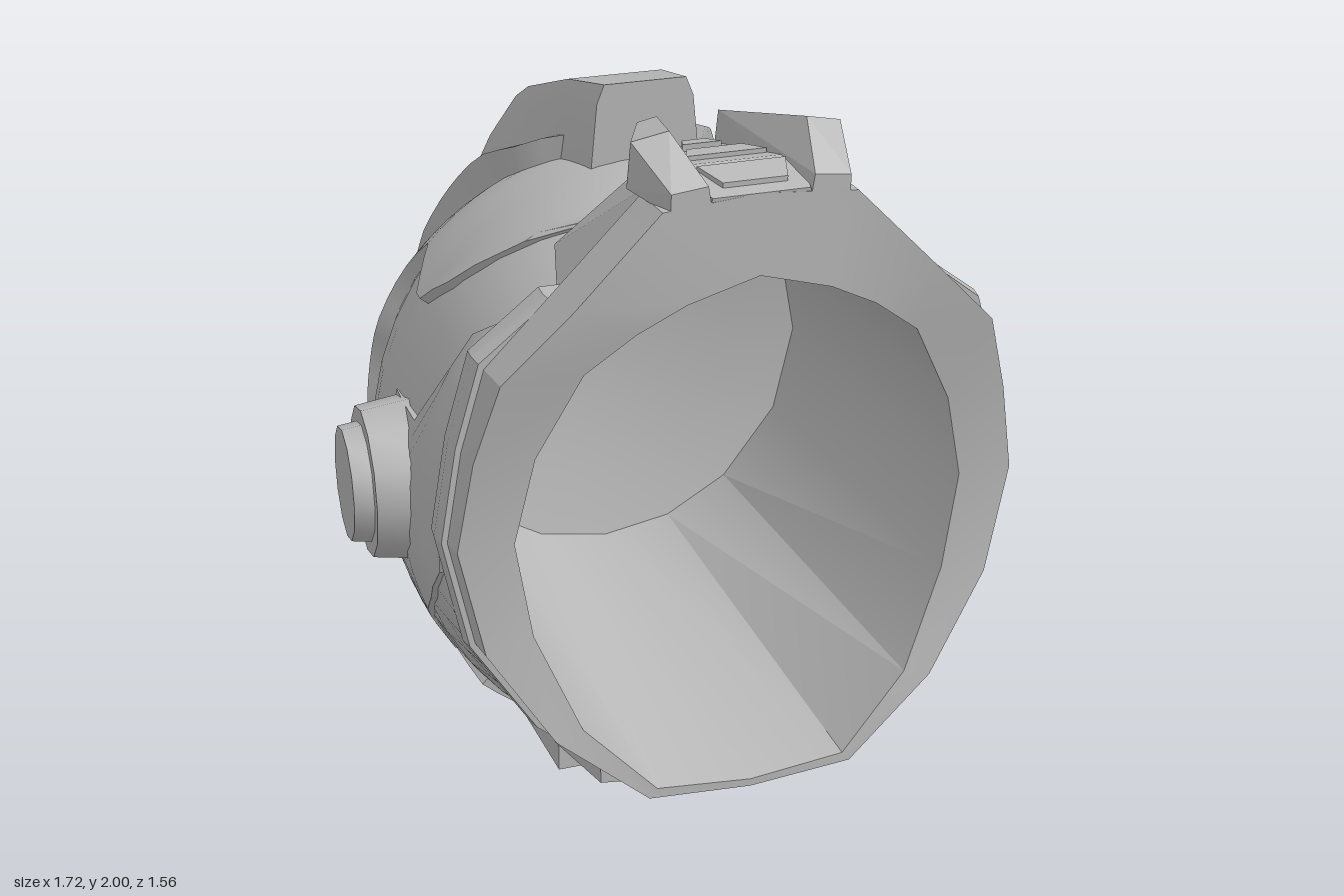
import * as THREE from 'three';
import { mergeVertices, toCreasedNormals } from 'three/addons/utils/BufferGeometryUtils.js';
import { ConvexGeometry } from 'three/addons/geometries/ConvexGeometry.js';

const CY = 0.92, RX = 0.715, TOP = 0.79, BOTTOM = 0.88, RZ = 0.7;
const JAW = 1.8, BACK = 2.35; // roundness of the lower half and of the back
const rad = THREE.MathUtils.degToRad;

// Linear interpolation in a short table of [key, value...] rows
function lerpTable(table, key, col = 1) {
  if (key <= table[0][0]) return table[0][col];
  for (let i = 1; i < table.length; i++) {
    const a = table[i - 1], b = table[i];
    if (key <= b[0]) return a[col] + (b[col] - a[col]) * (key - a[0]) / (b[0] - a[0]);
  }
  return table[table.length - 1][col];
}

// Surface through rows of points
function loft(rows, closed, crease = 0.5) {
  const n = rows[0].length, index = [];
  for (let i = 0; i + 1 < rows.length; i++) {
    for (let j = 0; j < (closed ? n : n - 1); j++) {
      const k = (j + 1) % n, a = i * n + j, b = i * n + k;
      index.push(a, b, a + n, b, b + n, a + n);
    }
  }
  const geo = new THREE.BufferGeometry();
  geo.setAttribute('position', new THREE.Float32BufferAttribute(rows.flat(2), 3));
  geo.setIndex(index);
  return toCreasedNormals(mergeVertices(geo, 1e-4), crease);
}

const hull = pts => new ConvexGeometry(pts.map(p => new THREE.Vector3(...p)));
const mirrorPts = pts => [...pts, ...pts.filter(p => p[0] > 0).map(([x, y, z]) => [-x, y, z])];
// Half outline from bottom to top, completed on the other side
const fullLoop = half => [...half, ...half.slice(1, -1).reverse().map(([x, y]) => [-x, y])];

// Front shell sections: z, half width, top, bottom, squareness of the upper half
const sections = [[0, RX, CY + TOP, CY - BOTTOM, 2], [0.25, 0.72, 1.68, 0.14, 2.2], [0.6, 0.715, 1.64, 0.33, 2.6]];
const sectionAt = z => [1, 2, 3, 4].map(c => lerpTable(sections, z, c));

function shellRow(z, n = 40) {
  const k = z < 0 ? Math.max(0, 1 - (-z / RZ) ** BACK) ** (1 / BACK) : 1;
  const [hw, top, bot, p] = sectionAt(z);
  const row = [];
  for (let j = 0; j < n; j++) {
    const t = j / n * Math.PI * 2, c = Math.cos(t), s = Math.sin(t);
    const e = 2 / (s > 0 ? p : JAW);
    const x = Math.sign(c) * Math.abs(c) ** e * hw * k;
    const y = CY + (s > 0 ? (top - CY) * s ** e : (bot - CY) * (-s) ** e) * k;
    row.push([x, y, z]);
  }
  return row;
}

function shellX(z, y) {
  const [hw, top, bot, p] = sectionAt(z);
  const h = y > CY ? (y - CY) / (top - CY) : (CY - y) / (CY - bot);
  const e = y > CY ? p : JAW;
  return hw * Math.max(0, 1 - h ** e) ** (1 / e);
}

// Point on the back dome: a runs over the top, back and bottom, b runs sideways
function dome(a, b, off) {
  const A = rad(a), B = rad(b);
  const x = Math.sin(B), y = Math.cos(A) * Math.cos(B), z = -Math.sin(A) * Math.cos(B);
  const q = y > 0 ? 2 : JAW, p = z < 0 ? BACK : 2;
  const across = (Math.abs(x) ** q + Math.abs(y) ** q) ** (1 / q);
  const f = (across ** p + Math.abs(z) ** p) ** (-1 / p);
  return [(RX * f + off) * x, CY + ((y > 0 ? TOP : BOTTOM) * f + off) * y, (RZ * f + off) * z];
}

// Raised plate over the dome; rows give angle, half spread, height in the middle and at the rim
function domePlate(table, base, power) {
  const a0 = table[0][0], a1 = table[table.length - 1][0], rows = [];
  const row = (a, lift) => {
    const [B, mid, rim] = [1, 2, 3].map(c => lerpTable(table, a, c));
    const r = [dome(a, -B, base)];
    for (let j = 0; j <= 20; j++) {
      const s = j / 10 - 1;
      r.push(dome(a, B * s, lift ? mid + (rim - mid) * Math.abs(s) ** power : base));
    }
    r.push(dome(a, B, base));
    return r;
  };
  rows.push(row(a0, false));
  for (let i = 0; i <= 36; i++) rows.push(row(a0 + (a1 - a0) * i / 36, true));
  rows.push(row(a1, false));
  return loft(rows, false);
}

export function createModel() {
  const group = new THREE.Group();
  const grey = new THREE.MeshStandardMaterial({ color: 0xb8b8b8, side: THREE.DoubleSide });
  grey.name = 'grey';
  const add = (name, geo) => {
    const mesh = new THREE.Mesh(geo, grey);
    mesh.name = name;
    group.add(mesh);
  };

  // Main shell
  const zs = [0.6, 0.42, 0.25, 0.12, 0];
  for (let i = 1; i <= 12; i++) zs.push(-RZ * Math.sin(i / 12 * Math.PI / 2));
  add('shell', loft(zs.map(z => shellRow(z)), true, 0.8));

  // Layered plates over the back
  add('backPlate', domePlate([[-22, 14, 0.06, 0.05], [-16, 32, 0.045, 0.04], [-8, 46, 0.025, 0.03],
    [8, 55, 0.01, 0.025], [28, 42, 0.01, 0.03], [36, 45, 0.01, 0.035], [57, 53, 0.01, 0.045], [86, 56, 0.01, 0.045],
    [126, 50, 0.01, 0.035], [154, 45, 0.01, 0.03], [176, 40, 0.01, 0.03]], -0.03, 2));
  add('innerBackPlate', domePlate([[2, 9, 0.06, 0.06], [14, 11, 0.06, 0.07], [22, 20, 0.05, 0.08], [30, 23, 0.04, 0.1],
    [52, 32, 0, 0.09], [75, 36, -0.02, 0.08], [85, 37, -0.02, 0.08], [110, 36, -0.02, 0.08], [142, 26, 0, 0.09]], -0.03, 2));

  // Crest: angle, radius factor, outer half width, inner half width, channel factor
  const crest = [[0, 1.23, 0.11, 0.07, 1.23], [16, 1.22, 0.13, 0.07, 1.22], [31, 1.26, 0.17, 0.07, 1.25],
    [35, 1.26, 0.19, 0.07, 1.14], [46, 1.24, 0.23, 0.1, 1.11], [57, 1.22, 0.27, 0.13, 1.06], [72, 1.15, 0.3, 0.15, 1.01],
    [88, 1.12, 0.3, 0.16, 0.99], [110, 1.11, 0.29, 0.17, 1.02], [125, 1.18, 0.27, 0.17, 1.09], [132, 1.24, 0.25, 0.16, 1.16],
    [137, 1.29, 0.24, 0.16, 1.29]];
  const crestRow = ([a, m, xo, xi, ch]) => {
    const at = (x, f) => [x, CY + 0.82 * f * Math.cos(rad(a)), -RZ * f * Math.sin(rad(a))];
    const half = [at(xo + 0.04, 0.92), at(xo + 0.02, m - 0.06), at(xo, m), at(xi, m), at(xi - 0.02, ch)];
    return [...half, ...half.map(([x, y, z]) => [-x, y, z]).reverse()];
  };
  const crestRows = crest.map(crestRow);
  const flatten = row => row.map(([x]) => [x, row[0][1], row[0][2]]);
  add('crest', loft([flatten(crestRows[0]), ...crestRows, flatten(crestRows[crestRows.length - 1])], false, 0.45));

  // Face frame and deep opening
  const outer = fullLoop([[0, 0.31], [0.27, 0.33], [0.5, 0.52], [0.66, 0.77], [0.72, 1.05], [0.68, 1.28],
    [0.62, 1.48], [0.45, 1.65], [0.24, 1.86], [0, 1.88]]);
  const inner = fullLoop([[0, 0.33], [0.25, 0.355], [0.43, 0.54], [0.54, 0.8], [0.58, 1.05], [0.53, 1.27],
    [0.42, 1.48], [0.3, 1.57], [0.18, 1.63], [0, 1.68]]);
  const frontZ = y => 0.7 + 0.08 * Math.min(1, ((y - 1) / 0.6) ** 2);
  const rim = inner.map(([x, y]) => [x, y, frontZ(y)]);
  add('faceFrame', loft([
    outer.map(([x, y]) => [x * 0.98, 1 + (y - 1) * 0.98, 0.63]),
    outer.map(([x, y]) => [x * 1.01, y, 0.64]),
    outer.map(([x, y]) => [x, y, frontZ(y)]), rim], true, 0.35));
  const cavityRow = (r, z) => inner.map(([x, y]) => {
    const d = Math.hypot(x, y - 1.06);
    return [x / d * r, 1.06 + (y - 1.06) / d * r, z];
  });
  add('cavity', loft([rim, cavityRow(0.57, -0.34), cavityRow(0.4, -0.38), cavityRow(0.2, -0.41), cavityRow(0, -0.42)], true, 0.6));

  // Flange behind the frame
  const flange = (s, z) => outer.map(([x, y]) => [x * s, Math.min(1.63, 1 + (y - 1) * s), z]);
  add('flange', loft([flange(0.98, 0.55), flange(1.03, 0.55), flange(1.04, 0.6), flange(1.03, 0.64), flange(0.99, 0.64)], true, 0.3));

  // Brow mount, rails and vents
  add('browMount', hull(mirrorPts([[0.1, 1.82, 0.3], [0.33, 1.62, 0.26], [0.1, 1.72, 0.25], [0.22, 1.87, 0.62],
    [0.44, 1.62, 0.62], [0.2, 1.86, 0.77], [0.24, 1.84, 0.65], [0.2, 1.72, 0.72]])));
  add('browPlate', hull(mirrorPts([[0.08, 1.85, 0.31], [0.15, 1.91, 0.62], [0.12, 1.88, 0.78],
    [0.08, 1.78, 0.31], [0.14, 1.8, 0.77]])));
  const rail = [[0.07, 1.8, 0.29], [0.15, 1.8, 0.29], [0.08, 1.93, 0.3], [0.13, 1.92, 0.3],
    [0.14, 1.85, 0.62], [0.27, 1.87, 0.62], [0.17, 2.0, 0.63], [0.26, 1.98, 0.62],
    [0.12, 1.85, 0.78], [0.22, 1.85, 0.78], [0.13, 1.91, 0.78], [0.22, 1.9, 0.78]];
  for (const s of [1, -1]) add(s > 0 ? 'leftBrowRail' : 'rightBrowRail', hull(rail.map(([x, y, z]) => [x * s, y, z])));
  for (const [z0, z1, w0, w1, y0, y1] of [[0.34, 0.4, 0.03, 0.05, 1.875, 1.885],
    [0.48, 0.56, 0.07, 0.1, 1.9, 1.91], [0.65, 0.74, 0.11, 0.08, 1.915, 1.9]]) {
    add('browVent', hull(mirrorPts([[w0, y0, z0], [w1, y1, z1], [w0, y0 - 0.04, z0], [w1, y1 - 0.04, z1]])));
  }

  // Cheek plates
  const upper = [[0, 1.18], [0.25, 1.2], [0.35, 1.45], [0.57, 1.6]];
  const lower = [[0, 0.4], [0.06, 0.53], [0.4, 0.78], [0.57, 0.94]];
  for (const s of [1, -1]) {
    const line = (z, o) => {
      const lo = lerpTable(lower, z), hi = lerpTable(upper, z), r = [];
      for (let j = -1; j <= 11; j++) {
        const y = lo + (hi - lo) * Math.min(1, Math.max(0, j / 10));
        r.push([s * (shellX(z, y) + (j < 0 || j > 10 ? -0.02 : o)), y, z]);
      }
      return r;
    };
    const rows = [line(0, -0.02)];
    for (const z of [0, 0.06, 0.15, 0.25, 0.35, 0.4, 0.48, 0.57]) rows.push(line(z, Math.min(0.015, 0.002 + z * 0.06)));
    add(s > 0 ? 'leftCheekPlate' : 'rightCheekPlate', loft(rows, false));
  }

  // Ear discs, turned slightly backwards
  for (const s of [1, -1]) {
    const ear = new THREE.Group();
    ear.name = s > 0 ? 'leftEar' : 'rightEar';
    ear.position.set(0, 0.985, 0.16);
    ear.rotation.set(0, s * 0.07, -s * Math.PI / 2);
    for (const [name, r1, r0, x0, x1] of [['earBase', 0.195, 0.225, 0.6, 0.8], ['earCap', 0.148, 0.16, 0.77, 0.85]]) {
      const geo = toCreasedNormals(new THREE.CylinderGeometry(r1, r0, x1 - x0, 12), 0.7);
      const mesh = new THREE.Mesh(geo, grey);
      mesh.name = name;
      mesh.position.y = (x0 + x1) / 2;
      ear.add(mesh);
    }
    group.add(ear);
  }

  // Chin plate and hollow chin box
  add('chinPlate', hull(mirrorPts([[0.32, 0.32, 0.55], [0.32, 0.25, 0.55], [0, 0.21, 0.55], [0, 0.28, 0.55],
    [0.29, 0.13, 0.07], [0.29, 0.09, 0.07], [0, 0.02, 0.07]])));
  const rect = (P, w, z0, z1) => new P([[-w, z0], [w, z0], [w, z1], [-w, z1]].map(p => new THREE.Vector2(...p)));
  const frame = rect(THREE.Shape, 0.28, -0.07, 0.26);
  frame.holes.push(rect(THREE.Path, 0.22, -0.02, 0.21));
  const chinFrame = new THREE.ExtrudeGeometry(frame, { depth: 0.13, bevelEnabled: false });
  chinFrame.rotateX(-Math.PI / 2);
  add('chinFrame', chinFrame);
  add('chinInset', new THREE.BoxGeometry(0.46, 0.06, 0.25).translate(0, 0.09, -0.095));

  return group;
}
